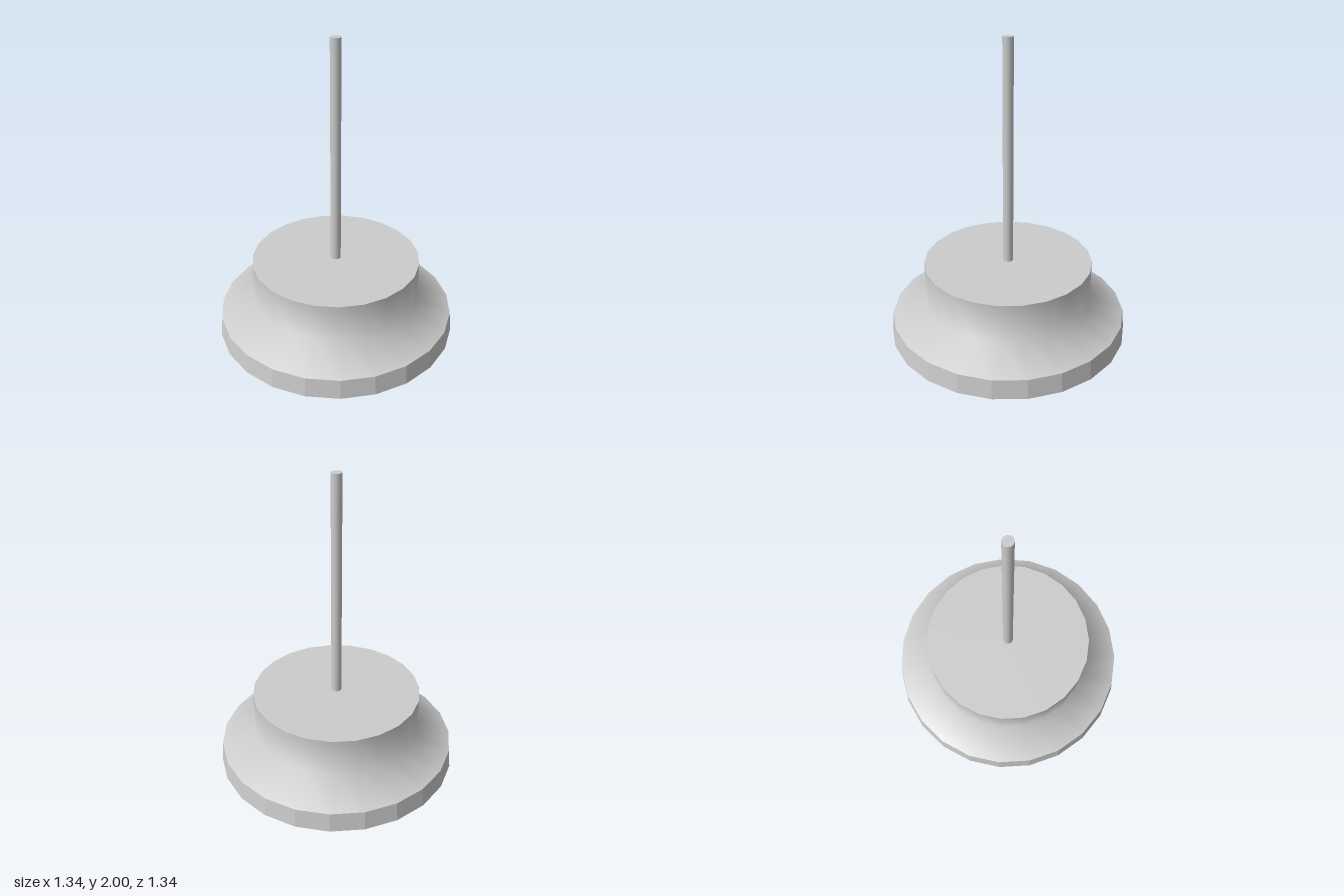
import * as THREE from 'three';

const SIDES = 23;
const grey = (flatShading) => new THREE.MeshStandardMaterial({ color: 0xcccccc, flatShading });

// Surface of revolution; profiles run so that the solid lies on their left, first corner at +x
function turned(name, profile, sides, flat = false) {
  const points = profile.map(([r, y]) => new THREE.Vector2(r, y));
  const mesh = new THREE.Mesh(new THREE.LatheGeometry(points, sides, Math.PI / 2), grey(flat));
  mesh.name = name;
  return mesh;
}

export function createModel() {
  const lamp = new THREE.Group();
  lamp.name = 'pendantLamp';

  // Shade: smooth drum and sloping skirt, faceted rim with a recessed underside, flat top
  const shade = new THREE.Group();
  shade.name = 'shade';
  shade.add(
    turned('shadeBody', [[0.66, 0.455], [0.468, 0.54], [0.468, 0.768]], SIDES),
    turned('shadeTop', [[0.468, 0.768], [0, 0.768]], SIDES, true),
    turned('shadeRim', [[0, 0.42], [0.637, 0.42], [0.637, 0.345], [0.672, 0.345], [0.66, 0.455]], SIDES, true),
  );
  lamp.add(shade);

  // Hanging rod
  const rod = new THREE.Mesh(new THREE.CylinderGeometry(0.028, 0.028, 1.235, 16), grey(false));
  rod.name = 'rod';
  rod.position.y = 2 - 1.235 / 2;
  lamp.add(rod);

  // Bulb: round lower part, then a taper to the neck
  const profile = [];
  for (let i = 0; i <= 10; i++) {
    const a = (i / 10) * 1.88;
    profile.push([0.153 * Math.sin(a), 0.155 - 0.155 * Math.cos(a)]);
  }
  profile.push([0.112, 0.28], [0.08, 0.345], [0.072, 0.385], [0.08, 0.42]);
  lamp.add(turned('bulb', profile, 28));

  return lamp;
}
